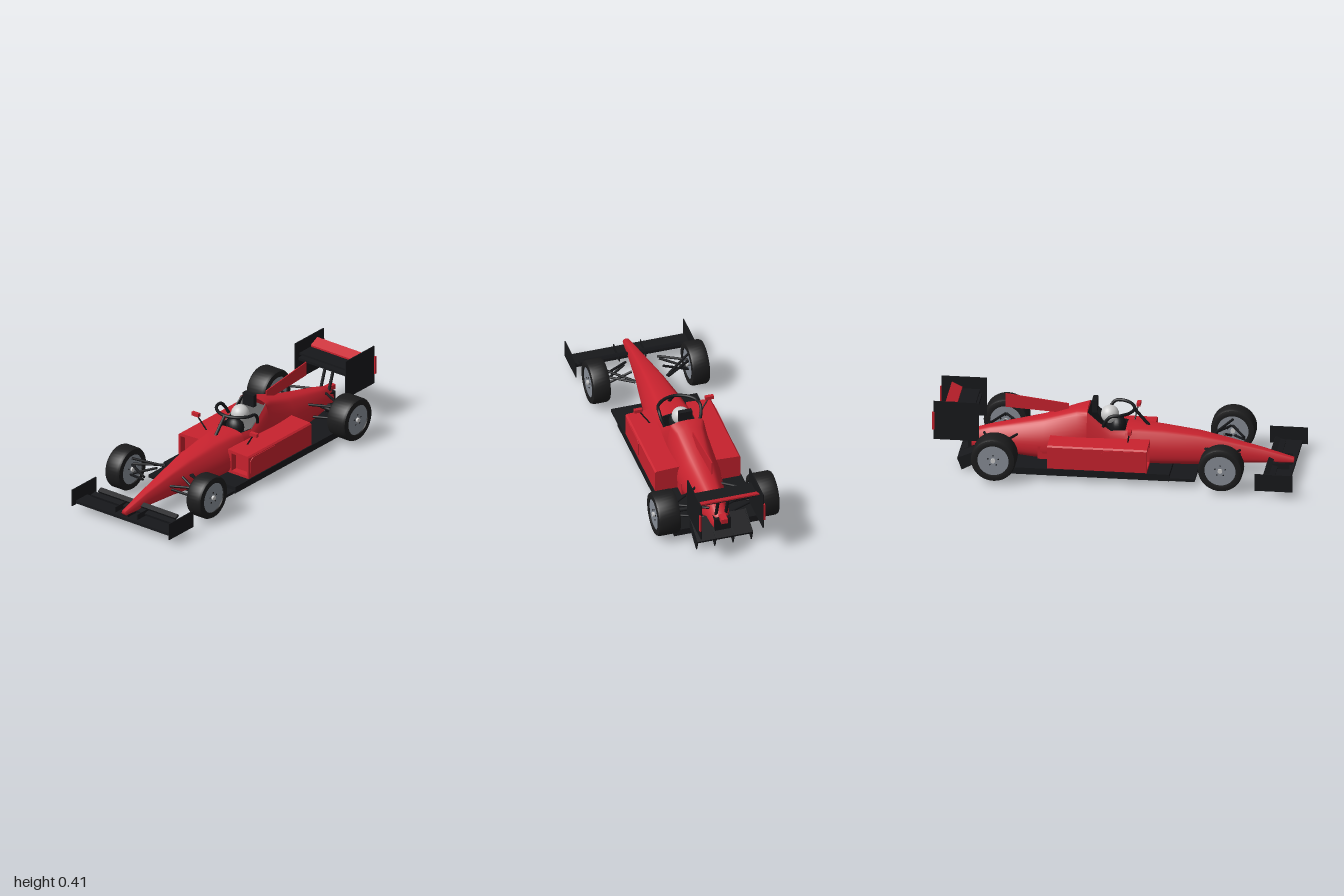
import * as THREE from 'three';
import { toCreasedNormals } from 'three/addons/utils/BufferGeometryUtils.js';

const V = (x, y, z) => new THREE.Vector3(x, y, z);
const mat = (color) => new THREE.MeshStandardMaterial({ color, side: THREE.DoubleSide });

export function createModel() {
  const car = new THREE.Group();
  const red = mat(0xc8222e), black = mat(0x17181b), tyreMat = mat(0x1c1c1d);
  const rimMat = mat(0x868c95), white = mat(0xcccccc);

  const add = (name, geo, material, parent = car) => {
    const m = new THREE.Mesh(geo, material);
    m.name = name;
    parent.add(m);
    return m;
  };
  // Box given by its limits on each axis
  const box = (name, material, [x0, x1], [y0, y1], [z0, z1]) => {
    const m = add(name, new THREE.BoxGeometry(x1 - x0, y1 - y0, z1 - z0), material);
    m.position.set((x0 + x1) / 2, (y0 + y1) / 2, (z0 + z1) / 2);
    return m;
  };
  // Round bar between two points
  const rod = (name, a, b, r, material = black) => {
    const m = add(name, new THREE.CylinderGeometry(r, r, a.distanceTo(b), 10), material);
    m.position.copy(a).add(b).multiplyScalar(0.5);
    m.quaternion.setFromUnitVectors(V(0, 1, 0), b.clone().sub(a).normalize());
  };
  // Flat plate outlined in side view (z, y), centred on x
  const plate = (name, material, x, thick, outline) => {
    const s = new THREE.Shape(outline.map(([z, y]) => new THREE.Vector2(-z, y)));
    const g = new THREE.ExtrudeGeometry(s, { depth: thick, bevelEnabled: false });
    g.translate(0, 0, -thick / 2).rotateY(Math.PI / 2);
    const m = add(name, g, material);
    m.position.x = x;
    return m;
  };
  const rect = (z0, z1, y0, y1) => [[z0, y0], [z1, y0], [z1, y1], [z0, y1]];

  // Skin over rings of equal point count
  const loft = (rings, capFront, capBack) => {
    const centre = (r) => {
      const c = r.reduce((s, p) => s.add(p), V(0, 0, 0)).divideScalar(r.length);
      return r.map(() => c);
    };
    const all = [...rings];
    if (capFront) all.unshift(centre(rings[0]));
    if (capBack) all.push(centre(rings[rings.length - 1]));
    const n = all[0].length, idx = [];
    for (let i = 0; i < all.length - 1; i++)
      for (let j = 0; j < n - 1; j++) {
        const a = i * n + j, c = a + n;
        idx.push(a, c, a + 1, a + 1, c, c + 1);
      }
    const g = new THREE.BufferGeometry().setFromPoints(all.flat());
    g.setIndex(idx);
    g.computeVertexNormals();
    return g;
  };

  // Body sections: z, bottom, top, half width, half width of the top
  const nose = [
    [0.965, 0.075, 0.1, 0.018, 0.011], [0.8, 0.073, 0.145, 0.034, 0.018],
    [0.6, 0.068, 0.19, 0.057, 0.03], [0.45, 0.06, 0.22, 0.08, 0.04],
    [0.25, 0.06, 0.243, 0.11, 0.05], [0.12, 0.06, 0.25, 0.118, 0.065],
    [0.05, 0.06, 0.246, 0.118, 0.08]];
  const tub = [[0.05, 0.06, 0.246, 0.118, 0.08], [-0.03, 0.06, 0.243, 0.116, 0.09],
    [-0.09, 0.06, 0.285, 0.115, 0.09], [-0.16, 0.06, 0.345, 0.115, 0.085]];
  const cover = [
    [-0.16, 0.06, 0.345, 0.115, 0.085], [-0.22, 0.06, 0.335, 0.116, 0.062],
    [-0.4, 0.06, 0.275, 0.114, 0.042], [-0.55, 0.07, 0.24, 0.09, 0.032],
    [-0.7, 0.08, 0.205, 0.066, 0.026], [-0.8, 0.09, 0.175, 0.05, 0.022]];
  const ring = ([z, b, top, w, t], open) => {
    const h = top - b;
    const half = [[w * 0.75, b], [w, b + h * 0.15], [w, b + h * 0.5],
      [t + (w - t) * 0.5, b + h * 0.85], [t, top]];
    const right = half.map(([x, y]) => V(x, y, z));
    const left = half.map(([x, y]) => V(-x, y, z));
    if (!open) return new THREE.CatmullRomCurve3([V(0, b, z), ...right, ...left.reverse()], true).getPoints(48);
    const pts = [...left.reverse(), V(0, b, z), ...right];
    return new THREE.CatmullRomCurve3(pts).getPoints(40);
  };
  add('nose', loft(nose.map((s) => ring(s)), true, false), red);
  add('cockpitSides', loft(tub.map((s) => ring(s, true))), red);
  add('engineCover', loft(cover.map((s) => ring(s)), false, true), red);

  // Cockpit lining with a sunken floor and a headrest ramp
  const lining = [[tub[0], 0], [tub[0], 0.1], [tub[1], 0.09], [tub[2], 0.06], [tub[3], 0.012]].map(([[z, , top, , t], d]) =>
    [[t, 0], [t * 0.92, 0], [t * 0.88, d], [-t * 0.88, d], [-t * 0.92, 0], [-t, 0]]
      .map(([x, dy]) => V(x, top - dy, z)));
  add('cockpitLining', toCreasedNormals(loft(lining), 0.4), black);
  const driver = add('driverBody', new THREE.SphereGeometry(0.045, 20, 14), black);
  driver.scale.set(1.2, 1.3, 1);
  driver.position.set(0, 0.24, 0);
  add('helmet', new THREE.SphereGeometry(0.05, 28, 20), white).position.set(0, 0.305, -0.045);
  box('cameraBox', black, [-0.038, 0.038], [0.325, 0.395], [-0.14, -0.112]);

  // Head protection hoop
  const hoop = new THREE.CatmullRomCurve3([V(-0.1, 0.27, -0.07), V(-0.112, 0.305, -0.055),
    V(-0.117, 0.338, -0.025), V(-0.108, 0.342, 0.025), V(-0.065, 0.342, 0.07), V(0, 0.342, 0.09),
    V(0.065, 0.342, 0.07), V(0.108, 0.342, 0.025), V(0.117, 0.338, -0.025),
    V(0.112, 0.305, -0.055), V(0.1, 0.27, -0.07)]);
  add('hoop', new THREE.TubeGeometry(hoop, 60, 0.009, 10), black);
  rod('hoopPillar', V(0, 0.342, 0.09), V(0, 0.25, 0.17), 0.009);

  plate('engineFin', red, 0, 0.006, [[-0.27, 0.297], [-0.27, 0.355], [-0.62, 0.397], [-0.62, 0.318]]);

  // Floor
  box('floor', black, [-0.25, 0.25], [0.03, 0.068], [-0.73, 0.31]);
  box('floorLip', black, [-0.245, 0.245], [0.03, 0.046], [0.31, 0.45]);

  // Wheel: tyre, rim discs and hub, axle along x
  const wheel = (name, x, z, width, r) => {
    const g = new THREE.Group();
    g.name = name;
    const h = width / 2, rim = r * 0.7;
    const profile = [[rim, -h + 0.014], [rim, -h + 0.002], [r * 0.8, -h], [r * 0.95, -h + 0.004], [r, -h + 0.016],
      [r, h - 0.016], [r * 0.95, h - 0.004], [r * 0.8, h], [rim, h - 0.002], [rim, h - 0.014]];
    const tyre = new THREE.LatheGeometry(profile.map((p) => new THREE.Vector2(...p)), 40);
    add('tyre', toCreasedNormals(tyre, 0.6).rotateZ(Math.PI / 2), tyreMat, g);
    add('rim', new THREE.CylinderGeometry(rim, rim, width - 0.018, 40).rotateZ(Math.PI / 2), rimMat, g);
    add('hub', new THREE.CylinderGeometry(0.013, 0.013, width + 0.004, 12).rotateZ(Math.PI / 2), white, g);
    for (let i = 0; i < 5; i++) {
      const a = i * Math.PI * 0.4;
      add('wheelNut', new THREE.CylinderGeometry(0.004, 0.004, width - 0.01, 6).rotateZ(Math.PI / 2), black, g)
        .position.set(0, Math.cos(a) * 0.03, Math.sin(a) * 0.03);
    }
    g.position.set(x, 0.139, z);
    car.add(g);
  };

  for (const s of [1, -1]) {
    const span = (a, b) => (s > 0 ? [a, b] : [-b, -a]);
    wheel('frontWheel', s * 0.283, 0.6, 0.104, 0.123);
    wheel('rearWheel', s * 0.281, -0.645, 0.13, 0.123);

    // Suspension arms
    for (const [a, b] of [
      [[0.24, 0.167, 0.59], [0.095, 0.167, 0.49]], [[0.24, 0.167, 0.6], [0.09, 0.167, 0.68]],
      [[0.24, 0.11, 0.59], [0.09, 0.18, 0.57]], [[0.24, 0.205, 0.6], [0.09, 0.165, 0.5]],
      [[0.24, 0.11, 0.61], [0.1, 0.15, 0.68]]])
      rod('frontArm', V(s * a[0], a[1], a[2]), V(s * b[0], b[1], b[2]), 0.007);
    for (const [y, z] of [[0.19, -0.53], [0.18, -0.73], [0.11, -0.55], [0.11, -0.72]])
      rod('rearArm', V(s * 0.23, y > 0.15 ? 0.18 : 0.11, -0.645), V(s * 0.05, y, z), 0.007);
    rod('driveShaft', V(s * 0.23, 0.139, -0.645), V(0, 0.139, -0.66), 0.011);

    // Sidepod: inlet frame, body and side panel
    const frame = new THREE.Shape([[0.1, 0.066], [0.244, 0.066], [0.244, 0.192], [0.235, 0.2], [0.1, 0.206]]
      .map(([x, y]) => new THREE.Vector2(s * x, y)));
    const solid = frame.clone();
    frame.holes.push(new THREE.Path([[0.126, 0.084], [0.232, 0.084], [0.232, 0.184], [0.126, 0.188]]
      .map(([x, y]) => new THREE.Vector2(s * x, y))));
    add('sidepodInlet', new THREE.ExtrudeGeometry(frame, { depth: 0.04, bevelEnabled: false }), red).position.z = 0.147;
    add('sidepod', new THREE.ExtrudeGeometry(solid, { depth: 0.507, bevelEnabled: false }), red).position.z = -0.36;
    plate('sidePanel', red, s * 0.245, 0.006,
      [[0.175, 0.1], [0.175, 0.17], [0.15, 0.188], [-0.04, 0.188], [-0.06, 0.175], [-0.06, 0.1]]);
    box('sidepodOutlet', red, span(0.07, 0.116), [0.066, 0.14], [-0.43, -0.36]);

    // Mirrors
    box('mirror', red, span(0.18, 0.227), [0.278, 0.298], [0.078, 0.098]);
    rod('mirrorStalk', V(s * 0.195, 0.28, 0.085), V(s * 0.14, 0.2, 0.07), 0.004);

    // Wing end plates
    plate('frontEndPlate', black, s * 0.338, 0.006, rect(0.79, 1, 0.038, 0.135));
    plate('rearEndPlate', black, s * 0.177, 0.006, rect(-0.993, -0.743, 0.182, 0.406));
    box('rearLightStrip', red, span(0.177, 0.187), [0.24, 0.343], [-1, -0.985]);
    plate('flapBracket', black, s * 0.076, 0.004, rect(0.84, 0.95, 0.05, 0.092));
    rod('rearWingStrut', V(s * 0.028, 0.16, -0.78), V(s * 0.028, 0.332, -0.84), 0.009);
  }

  // Front wing
  box('frontWing', black, [-0.338, 0.338], [0.044, 0.06], [0.87, 0.97]);
  box('frontFlapLower', black, [-0.295, 0.295], [0.066, 0.08], [0.85, 0.885]).rotation.x = 0.2;
  box('frontFlapUpper', black, [-0.27, 0.27], [0.09, 0.103], [0.828, 0.858]).rotation.x = 0.45;
  box('noseMount', black, [-0.016, 0.016], [0.05, 0.085], [0.86, 0.955]);

  // Rear wing
  box('rearWing', black, [-0.176, 0.176], [0.326, 0.338], [-0.89, -0.78]);
  plate('rearFlap', red, 0, 0.35, [[-0.878, 0.336], [-0.935, 0.366], [-0.935, 0.375], [-0.878, 0.348]]);
  box('beamWing', black, [-0.176, 0.176], [0.298, 0.313], [-0.81, -0.77]);

  // Gearbox, tail light and diffuser
  box('gearbox', black, [-0.045, 0.045], [0.08, 0.16], [-0.82, -0.7]);
  box('tailLight', red, [-0.018, 0.018], [0.15, 0.178], [-0.855, -0.8]);
  plate('diffuser', black, 0, 0.318, [[-0.72, 0.11], [-0.725, 0.125], [-0.865, 0.067], [-0.861, 0.055]]);
  for (const x of [-0.156, -0.052, 0.052, 0.156])
    plate('diffuserFin', black, x, 0.006, [[-0.72, 0.065], [-0.725, 0.13], [-0.865, 0.068], [-0.84, 0]]);

  return car;
}
